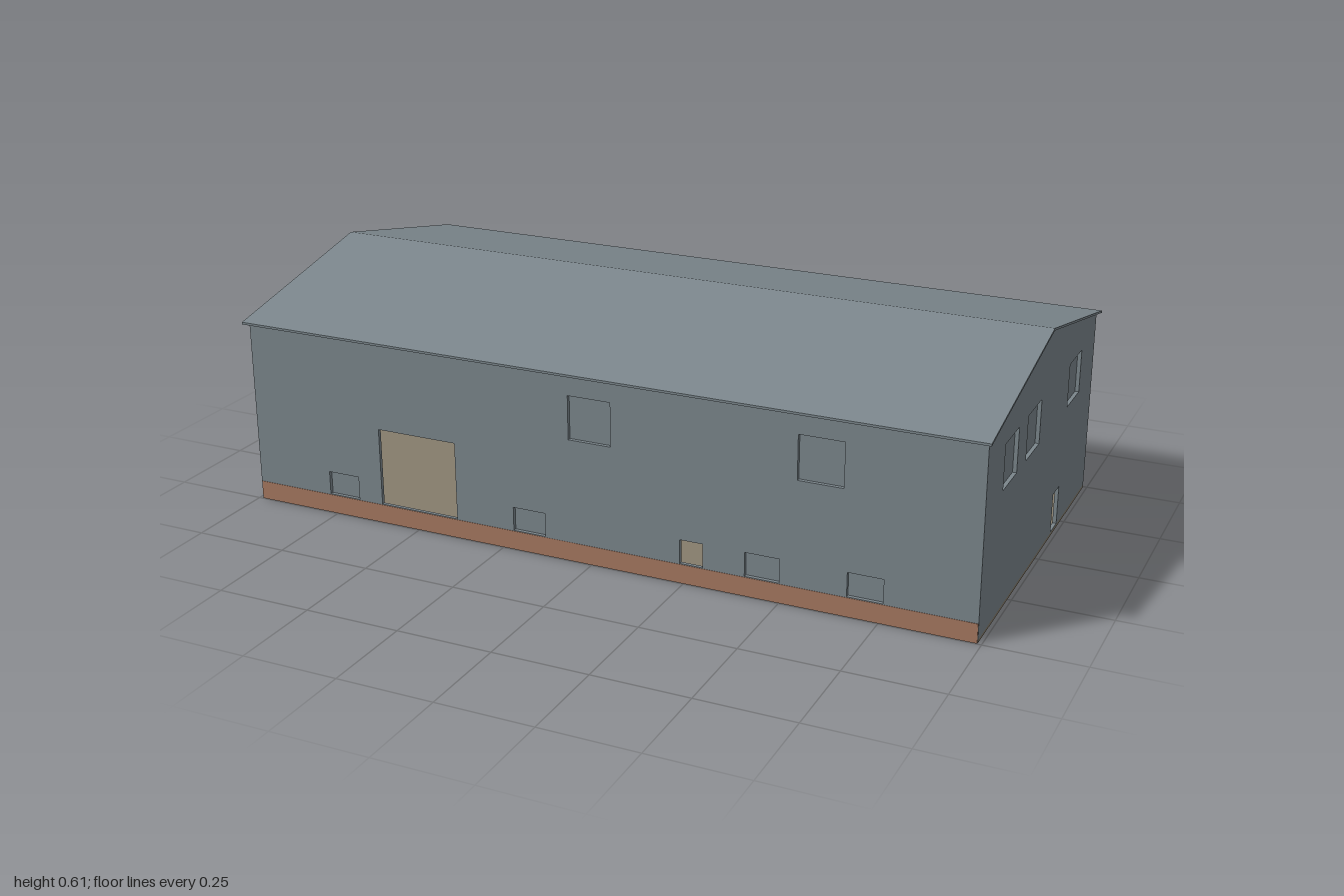
import * as THREE from 'three';

const mat = (name, color) => Object.assign(new THREE.MeshStandardMaterial({ color }), { name });

export function createModel() {
  const barn = new THREE.Group();
  barn.name = 'barn';
  const grey = mat('greyCladding', 0x7b868c);
  const brick = mat('brick', 0xa67860);
  const tan = mat('tanFloor', 0x857c6b);

  const X = 0.99, Z = 0.497, T = 0.01, PLINTH = 0.05, SLOPE = 0.212;

  function add(parent, name, geometry, material, x = 0, y = 0, z = 0) {
    const mesh = new THREE.Mesh(geometry, material);
    mesh.name = name;
    mesh.position.set(x, y, z);
    parent.add(mesh);
    return mesh;
  }
  const box = (parent, name, w, h, d, material, x, y, z) =>
    add(parent, name, new THREE.BoxGeometry(w, h, d), material, x, y, z);
  const polygon = (pts) => new THREE.Shape(pts.map(([x, y]) => new THREE.Vector2(x, y)));

  // Wall in its own plane, outer face at z = 0; windows get a recessed pane, doors stay open
  function wall(name, outline, windows, doors) {
    const group = new THREE.Group();
    group.name = name;
    const shape = polygon(outline);
    for (const [x0, x1, y0, y1] of [...windows, ...doors]) {
      shape.holes.push(new THREE.Path([
        new THREE.Vector2(x0, y0), new THREE.Vector2(x0, y1),
        new THREE.Vector2(x1, y1), new THREE.Vector2(x1, y0)]));
    }
    const panel = new THREE.ExtrudeGeometry(shape, { depth: T, bevelEnabled: false });
    add(group, 'wallPanel', panel, grey, 0, 0, -T);
    for (const [x0, x1, y0, y1] of windows) {
      box(group, 'windowPane', x1 - x0 + 0.004, y1 - y0 + 0.004, 0.004, grey,
        (x0 + x1) / 2, (y0 + y1) / 2, -T - 0.002);
    }
    barn.add(group);
    return group;
  }
  const upper = (x) => [x, x + 0.115, 0.325, 0.44];
  const lower = (x) => [x, x + 0.09, 0.052, 0.115];

  // Long walls above the brick plinth
  const long = [[-X, PLINTH], [X, PLINTH], [X, 0.497], [-X, 0.497]];
  wall('frontWall', long,
    [upper(-0.06), upper(0.54), lower(-0.77), lower(-0.22), lower(0.41), lower(0.67)],
    [[-0.61, -0.385, 0.052, 0.26], [0.24, 0.30, 0.052, 0.115]]).position.z = Z;
  const back = wall('backWall', long,
    [-0.85, -0.45, -0.25, -0.055, 0.14, 0.345, 0.735].map(upper),
    [[-0.575, -0.515, 0.052, 0.115]]);
  back.position.z = -Z;
  back.rotation.y = Math.PI;

  // Gable ends, alike under a half turn
  const G = Z - 0.001;
  const gable = [[-G, 0.008], [G, 0.008], [G, 0.603 - SLOPE * G], [0, 0.603], [-G, 0.603 - SLOPE * G]];
  for (const side of [1, -1]) {
    const end = wall(side > 0 ? 'leftGable' : 'rightGable', gable,
      [[-0.355, -0.24, 0.325, 0.44], [-0.16, -0.04, 0.325, 0.44], [0.235, 0.355, 0.325, 0.44]],
      [[0.15, 0.207, 0.011, 0.115]]);
    end.position.x = side * X;
    end.rotation.y = side * Math.PI / 2;
  }

  // Brick plinths and floor slab
  for (const side of [1, -1]) {
    box(barn, 'brickPlinth', 2 * X - 0.002, PLINTH, T, brick, 0, PLINTH / 2, side * (Z - T / 2 + 0.001));
  }
  box(barn, 'floor', 2 * X, 0.008, 2 * Z - 0.004, tan, 0, 0.004, 0);

  // Interior loft beam and partition
  box(barn, 'loftBeam', 2 * X - 0.04, 0.045, 0.02, brick, 0, 0.2425, -0.46);
  box(barn, 'partition', 0.01, 0.21, 0.15, grey, -0.445, 0.113, -0.395);

  // Roof, a thin folded sheet along x
  const E = 0.515, top = 0.61, thick = 0.006;
  const edge = top - SLOPE * E;
  const roof = new THREE.ExtrudeGeometry(polygon([
    [-E, edge - thick], [0, top - thick], [E, edge - thick], [E, edge], [0, top], [-E, edge]]),
  { depth: 2, bevelEnabled: false });
  roof.translate(0, 0, -1).rotateY(Math.PI / 2);
  add(barn, 'roof', roof, grey);

  return barn;
}
